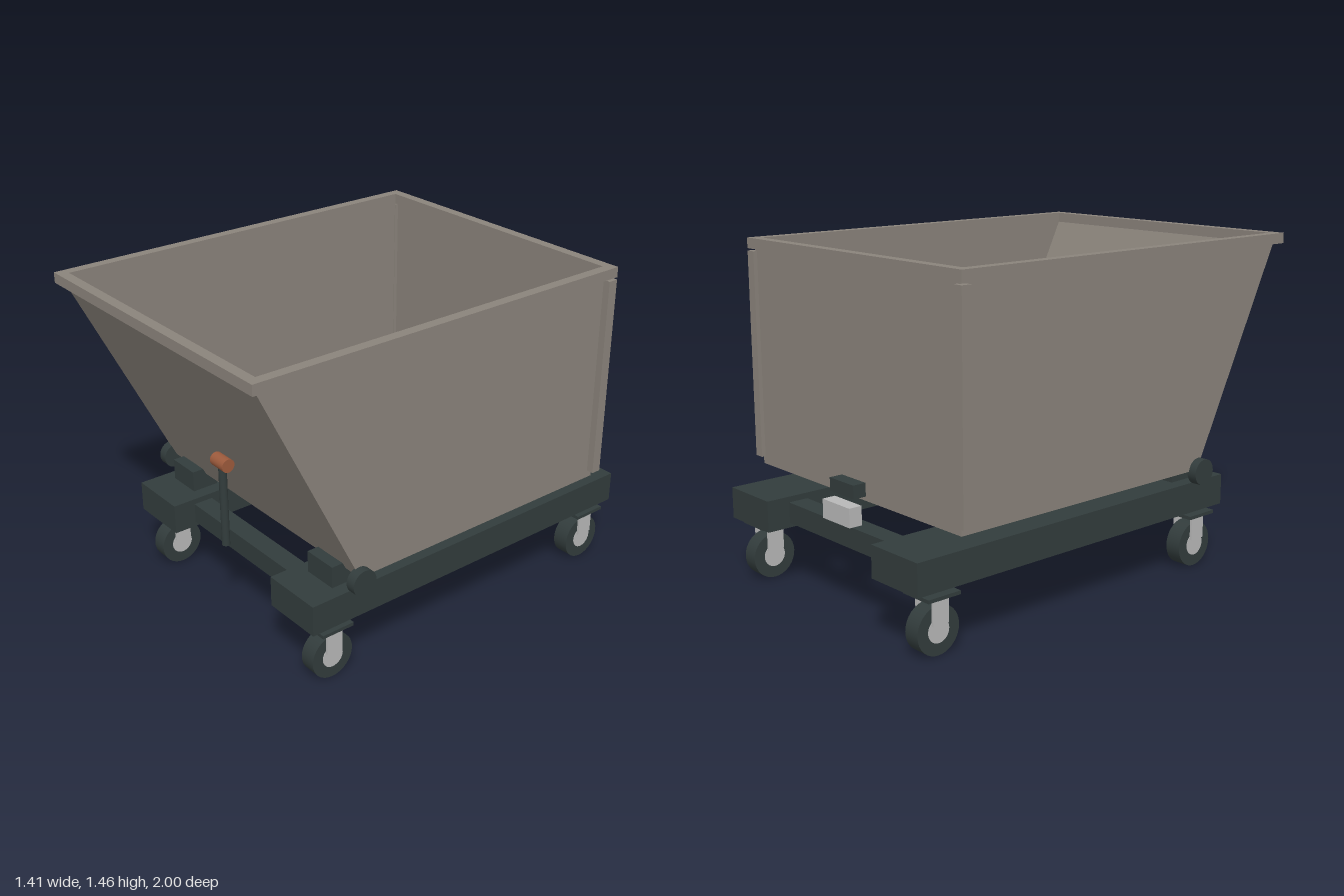
import * as THREE from 'three';

const mat = (name, color) => {
  const m = new THREE.MeshStandardMaterial({ color });
  m.name = name;
  return m;
};

export function createModel() {
  const model = new THREE.Group();
  model.name = 'tippingBinTrolley';

  const steel = mat('binSteel', 0x8a837b);
  const dark = mat('darkFrame', 0x323c3c);
  const zinc = mat('zincMetal', 0xb8b8b8);
  const copper = mat('copperGrip', 0x9c5a3c);

  const add = (parent, name, geometry, material) => {
    const mesh = new THREE.Mesh(geometry, material);
    mesh.name = name;
    parent.add(mesh);
    return mesh;
  };
  // Box given by its limits on each axis
  const box = (parent, name, material, [x0, x1], [y0, y1], [z0, z1]) =>
    add(parent, name, new THREE.BoxGeometry(x1 - x0, y1 - y0, z1 - z0), material)
      .position.set((x0 + x1) / 2, (y0 + y1) / 2, (z0 + z1) / 2);
  // Cylinder lying along x
  const axle = (parent, name, material, r, width, x, y, z) =>
    add(parent, name, new THREE.CylinderGeometry(r, r, width, 32).rotateZ(Math.PI / 2), material)
      .position.set(x, y, z);
  // Outline in (z, y) extruded along x and centred on cx
  const extrudeX = (points, width, cx) => {
    const shape = new THREE.Shape(points.map(([z, y]) => new THREE.Vector2(z, y)));
    return new THREE.ExtrudeGeometry(shape, { depth: width, bevelEnabled: false })
      .rotateY(-Math.PI / 2).translate(cx + width / 2, 0, 0);
  };

  // Bin: bent sheet for back, floor and sloping front, closed by two side sheets
  const bin = new THREE.Group();
  bin.name = 'bin';
  model.add(bin);
  const outline = [[-0.817, 1.41], [-0.817, 0.472], [0.505, 0.472], [0.97, 1.41]];
  const inside = [[0.959, 1.41], [0.498, 0.482], [-0.807, 0.482], [-0.807, 1.41]];
  add(bin, 'backFloorAndFront', extrudeX([...outline, ...inside], 1.316, 0), steel);
  for (const s of [-1, 1]) {
    add(bin, 'sideWall', extrudeX(outline, 0.01, s * 0.663), steel);
    box(bin, 'cornerPost', steel, s < 0 ? [-0.7, -0.655] : [0.655, 0.7], [0.505, 1.4], [-0.835, -0.79]);
  }

  // Rim of square bar around the opening
  const rect = (Type, x, z0, z1) => new Type([[-x, z0], [x, z0], [x, z1], [-x, z1]]
    .map(([a, b]) => new THREE.Vector2(a, b)));
  const rim = rect(THREE.Shape, 0.7, -1, 0.835);
  rim.holes.push(rect(THREE.Path, 0.655, -0.955, 0.79));
  add(bin, 'rim', new THREE.ExtrudeGeometry(rim, { depth: 0.045, bevelEnabled: false })
    .rotateX(-Math.PI / 2).translate(0, 1.41, 0), steel);

  // Chassis: two long rails joined by cross bars
  const chassis = new THREE.Group();
  chassis.name = 'chassis';
  model.add(chassis);
  for (const s of [-1, 1]) {
    const span = (a, b) => (s < 0 ? [-b, -a] : [a, b]);
    box(chassis, 'rail', dark, span(0.358, 0.636), [0.27, 0.405], [-1, 0.713]);
    box(chassis, 'pivotBlock', dark, span(0.419, 0.577), [0.405, 0.5], [0.45, 0.572]);
    axle(chassis, 'pivotDisc', dark, 0.057, 0.044, s * 0.683, 0.467, 0.51);
  }
  box(chassis, 'frontCrossBar', dark, [-0.36, 0.36], [0.29, 0.38], [0.52, 0.61]);
  box(chassis, 'rearCrossBar', dark, [-0.36, 0.36], [0.29, 0.38], [-0.895, -0.805]);

  // Release lever with grip at the front
  add(model, 'leverRod', new THREE.CylinderGeometry(0.0175, 0.0175, 0.39, 24), dark)
    .position.set(0, 0.57, 0.685);
  axle(model, 'leverGrip', copper, 0.03, 0.09, 0, 0.765, 0.685);

  // Latch at the back
  box(model, 'latchCatch', dark, [-0.08, 0.08], [0.49, 0.547], [-0.877, -0.817]);
  box(model, 'latchBase', zinc, [-0.091, 0.091], [0.38, 0.461], [-0.907, -0.847]);

  // Four casters
  for (const x of [-0.56, 0.56]) for (const z of [-0.873, 0.588]) {
    const caster = new THREE.Group();
    caster.name = 'caster';
    caster.position.set(x, 0, z);
    model.add(caster);
    axle(caster, 'tyre', dark, 0.1, 0.073, 0, 0.1, 0);
    axle(caster, 'hub', zinc, 0.05, 0.078, 0, 0.1, 0);
    box(caster, 'mountingPlate', dark, [-0.076, 0.076], [0.235, 0.25], [-0.077, 0.077]);
    for (const s of [-1, 1])
      box(caster, 'forkArm', zinc, [s * 0.048 - 0.005, s * 0.048 + 0.005], [0.128, 0.236], [-0.038, 0.038]);
  }
  return model;
}
